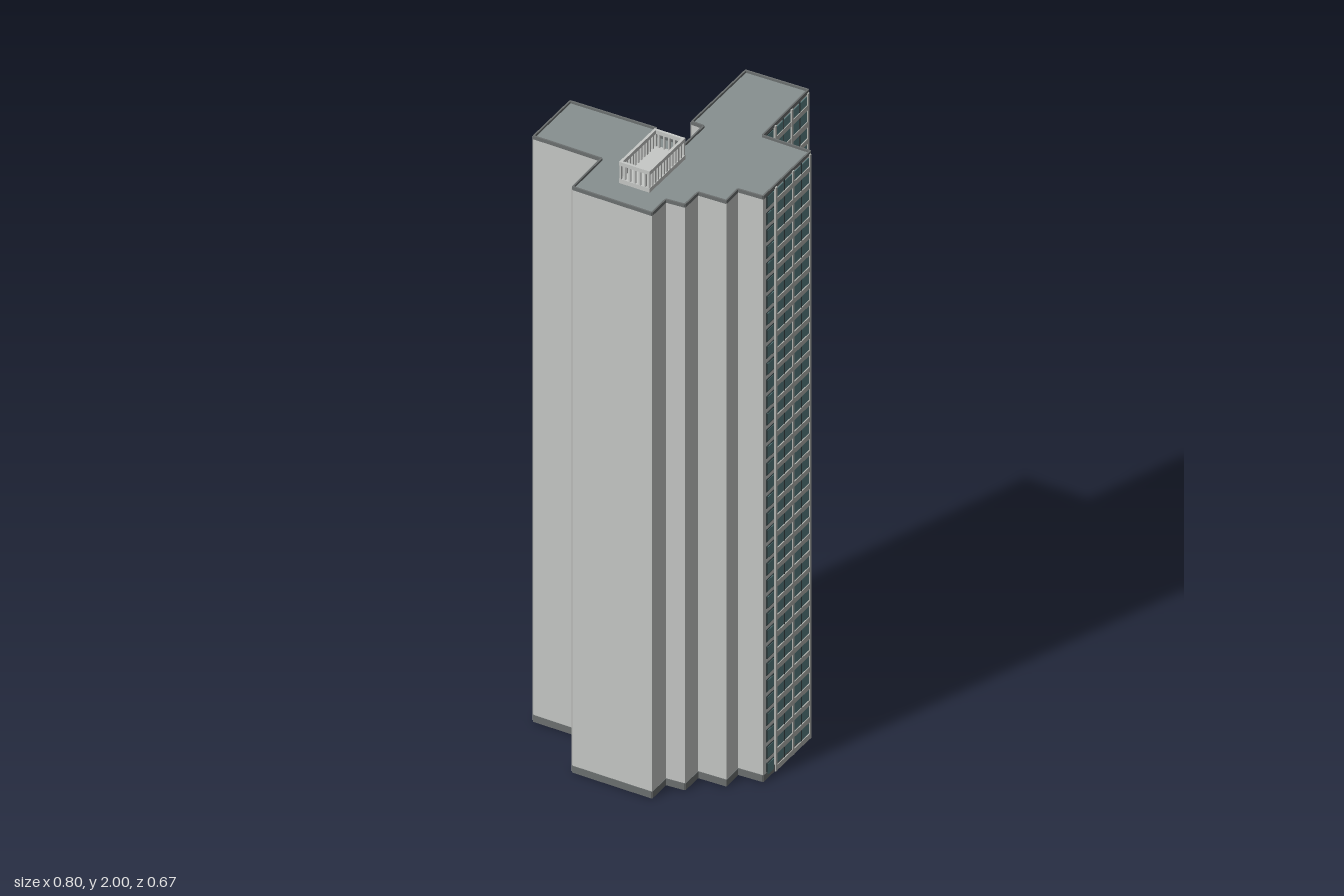
import * as THREE from 'three';
import { mergeGeometries } from 'three/addons/utils/BufferGeometryUtils.js';

const HEIGHT = 1.93, FLOORS = 35;

const mat = (name, color) => {
  const m = new THREE.MeshStandardMaterial({ color });
  m.name = name;
  return m;
};

// Box given by its minimum corner and its size
const box = (x, y, z, w, h, d) =>
  new THREE.BoxGeometry(w, h, d).translate(x + w / 2, y + h / 2, z + d / 2);

function add(parent, name, geometries, material) {
  const mesh = new THREE.Mesh(mergeGeometries(geometries), material);
  mesh.name = name;
  parent.add(mesh);
}

// Footprint corners (x, z), left to right as seen from outside;
// the third value is the number of window bays on the wall that starts there
const FOOTPRINT = [
  [-0.38, -0.225], [-0.265, -0.04, 2], [-0.4, 0.05], [-0.265, 0.265],
  [-0.2, 0.223], [-0.165, 0.27], [-0.105, 0.232], [-0.055, 0.305],
  [0, 0.268], [0.045, 0.332, 0], [0.265, 0.19], [0.184, 0.06, 0],
  [0.4, -0.085], [0.29, -0.25, 3], [0.041, -0.09], [0.06, -0.056],
  [-0.027, 0], [-0.085, -0.09], [-0.06, -0.106], [-0.21, -0.335, 2],
];
FOOTPRINT[9][2] = FOOTPRINT[11][2] = 2;

export function createModel() {
  const wall = mat('pale concrete', 0xc6c8c6);
  const roof = mat('roof grey', 0x879090);
  const glass = mat('teal glass', 0x5a8083);
  const dark = mat('dark frame', 0x3a4648);
  const trim = mat('grey trim', 0xb2b4b0);
  const plinth = mat('plinth grey', 0x6c7070);

  const model = new THREE.Group();
  model.name = 'apartmentTower';

  // Tower body
  const shape = new THREE.Shape(FOOTPRINT.map(([x, z]) => new THREE.Vector2(x, -z)));
  const bodyGeo = new THREE.ExtrudeGeometry(shape, { depth: HEIGHT, bevelEnabled: false });
  bodyGeo.rotateX(-Math.PI / 2);
  const body = new THREE.Mesh(bodyGeo, [roof, wall]);
  body.name = 'towerBody';
  model.add(body);

  // Wall by wall: parapet, plinth and window grid
  FOOTPRINT.forEach(([x, z, bays], i) => {
    const [x2, z2] = FOOTPRINT[(i + 1) % FOOTPRINT.length];
    const length = Math.hypot(x2 - x, z2 - z);
    const side = new THREE.Group();
    side.name = bays ? 'windowWall' : 'plainWall';
    side.position.set(x, 0, z);
    side.rotation.y = Math.atan2(-(z2 - z), x2 - x);
    model.add(side);

    add(side, 'parapet', [box(0, HEIGHT - 0.004, -0.003, length, 0.011, 0.005)], plinth);
    add(side, 'plinth', [box(0, 0, -0.002, length, 0.022, 0.004)], plinth);
    if (bays) addWindows(side, length, bays);
  });

  function addWindows(side, length, bays) {
    const step = HEIGHT / FLOORS;
    const start = 0.066, end = length - 0.008;
    const bayWidth = (end - start) / bays;
    const panes = [box(start, 0.01, 0, end - start, HEIGHT - 0.02, 0.002)];
    const bands = [], frames = [], piers = [];

    for (let f = 0; f < FLOORS; f++) {
      const y = f * step;
      // Spandrel across the bays
      bands.push(box(start, y, 0, end - start, 0.017, 0.005));
      // Narrow window beside the corner
      frames.push(box(0.017, y + 0.01, 0, 0.04, step - 0.014, 0.002));
      panes.push(box(0.02, y + 0.013, 0, 0.034, step - 0.02, 0.0035));
    }
    for (let b = 0; b <= bays; b++) {
      const px = start + b * bayWidth;
      piers.push(box(px - 0.004, 0, 0, 0.008, HEIGHT, 0.006));
      if (b < bays) frames.push(box(px + bayWidth / 2 - 0.002, 0, 0, 0.004, HEIGHT, 0.0035));
    }
    add(side, 'windowPanes', panes, glass);
    add(side, 'spandrels', bands, trim);
    add(side, 'windowFrames', frames, dark);
    add(side, 'piers', piers, trim);
  }

  // Rooftop enclosure: floor plate, ring of posts and top rail
  const enclosure = new THREE.Group();
  enclosure.name = 'roofEnclosure';
  enclosure.position.set(-0.165, HEIGHT, 0.0725);
  enclosure.rotation.y = 0.567;
  model.add(enclosure);

  const L = 0.195, W = 0.098, T = 0.008, H = 0.07;
  add(enclosure, 'enclosureFloor', [box(-L / 2, 0, -W / 2, L, 0.014, W)], wall);
  const rails = [], posts = [];
  for (const s of [-1, 1]) {
    rails.push(box(-L / 2, H - 0.012, s * (W - T) / 2 - T / 2, L, 0.012, T));
    rails.push(box(s * (L - T) / 2 - T / 2, H - 0.012, -W / 2 + T, T, 0.012, W - 2 * T));
    for (let i = 0; i <= 12; i++) {
      const px = -L / 2 + 0.003 + (i / 12) * (L - 0.006);
      posts.push(box(px - 0.003, 0.014, s * (W - T) / 2 - 0.003, 0.006, H - 0.026, 0.006));
    }
    for (let i = 1; i < 6; i++) {
      const pz = -W / 2 + (i / 6) * W;
      posts.push(box(s * (L - T) / 2 - 0.003, 0.014, pz - 0.003, 0.006, H - 0.026, 0.006));
    }
  }
  add(enclosure, 'enclosureRail', rails, wall);
  add(enclosure, 'enclosurePosts', posts, wall);

  return model;
}
